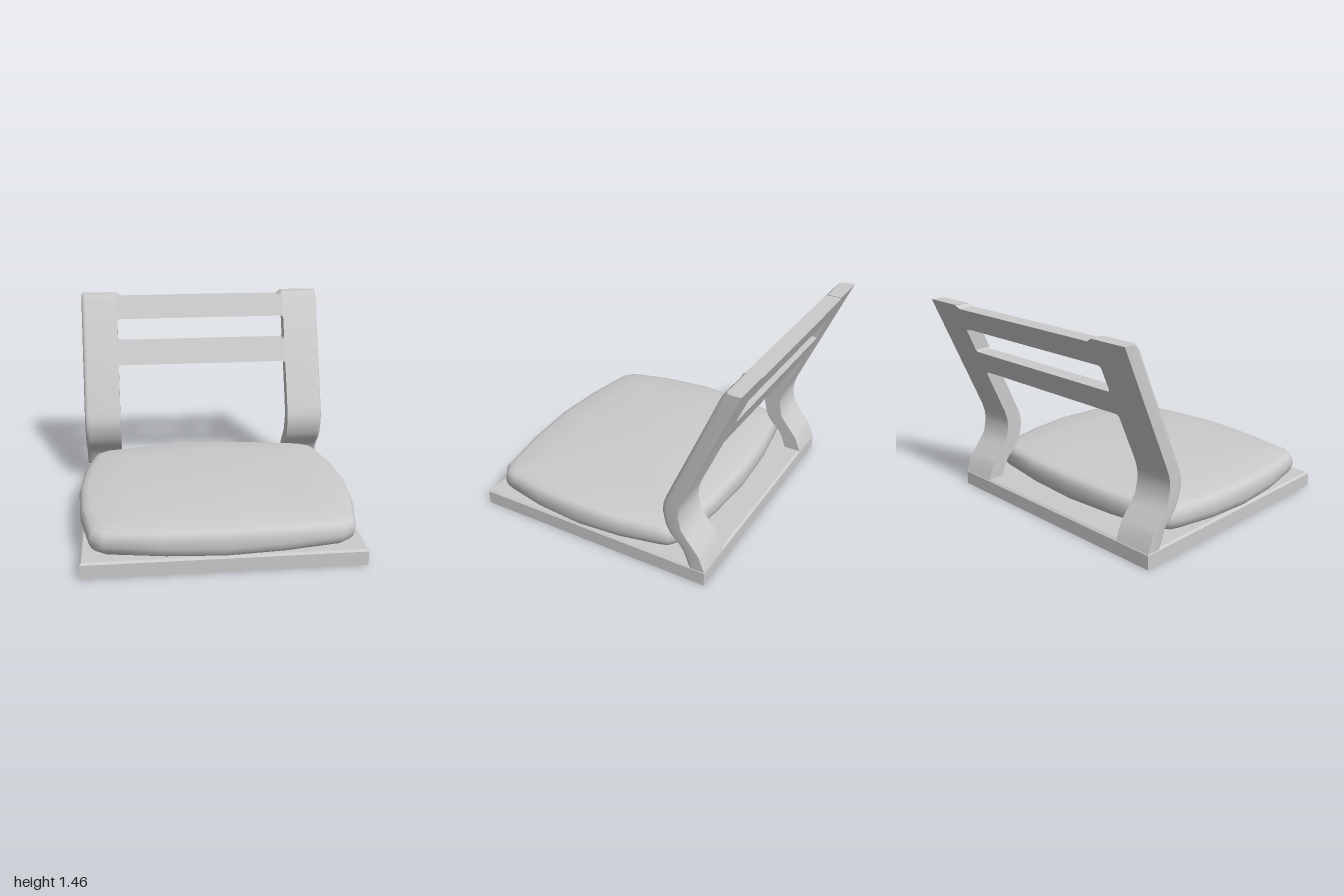
import * as THREE from 'three';
import { mergeVertices, toCreasedNormals } from 'three/addons/utils/BufferGeometryUtils.js';

const material = new THREE.MeshStandardMaterial({ color: 0xcccccc });

function addMesh(parent, name, geometry) {
  const mesh = new THREE.Mesh(geometry, material);
  mesh.name = name;
  parent.add(mesh);
}

// Skin between stacked rings (bottom to top, each running from +x towards +z), closed at both ends.
function loft(rings, crease) {
  const n = rings[0].length, pos = rings.flat(2), index = [];
  for (let i = 0; i < rings.length - 1; i++) {
    for (let j = 0; j < n; j++) {
      const a = i * n + j, b = i * n + (j + 1) % n;
      index.push(a, a + n, b, b, a + n, b + n);
    }
  }
  [0, rings.length - 1].forEach((r, top) => {
    const centre = pos.length / 3;
    for (let k = 0; k < 3; k++) pos.push(rings[r].reduce((s, p) => s + p[k], 0) / n);
    for (let j = 0; j < n; j++) {
      const a = r * n + j, b = r * n + (j + 1) % n;
      index.push(centre, top ? b : a, top ? a : b);
    }
  });
  let g = new THREE.BufferGeometry();
  g.setAttribute('position', new THREE.Float32BufferAttribute(pos, 3));
  g.setIndex(index);
  g = mergeVertices(g);
  return toCreasedNormals(g, crease);
}

// Flat board with a fine bevel around its top edge
function baseGeometry() {
  const ring = (y, d) => [
    [0.94 - d, y, -0.8 + d], [0.94 - d, y, 0.975 - d],
    [-0.94 + d, y, 0.975 - d], [-0.94 + d, y, -0.8 + d],
  ];
  return loft([ring(0, 0), ring(0.098, 0), ring(0.112, 0.014)], 0.3);
}

// Bulging square pillow: one quarter of the plan, mirrored, scaled through the edge profile
function cushionGeometry() {
  const quarter = [[0.965, 0], [0.945, 0.33], [0.888, 0.62], [0.868, 0.68], [0.79, 0.735], [0.4, 0.79], [0, 0.81]];
  const half = [...quarter, ...quarter.slice(0, -1).reverse().map(([x, z]) => [-x, z])];
  const plan = [...half, ...half.slice(1, -1).reverse().map(([x, z]) => [x, -z])];
  const profile = [
    [0.02, 0.105], [0.93, 0.106], [0.965, 0.114], [0.99, 0.14], [1, 0.175], [1, 0.235],
    [0.99, 0.268], [0.97, 0.288], [0.93, 0.3], [0.7, 0.315], [0.35, 0.331], [0.02, 0.34],
  ];
  return loft(profile.map(([s, y]) => plan.map(([x, z]) => {
    const corner = Math.min(Math.abs(x) / 0.87, Math.abs(z) / 0.68, 1) * s * s;
    return [x * s, y + (y > 0.2 ? -0.015 : 0.012) * corner, z * s + 0.18];
  })), Math.PI);
}

// Bent upright: [height, front z, back z], with a rounded outer front edge
function postGeometry(side) {
  const stations = [
    [0.105, -0.677, -0.8], [0.21, -0.637, -0.76], [0.25, -0.61, -0.73], [0.32, -0.54, -0.672],
    [0.38, -0.506, -0.627], [0.48, -0.482, -0.605], [0.54, -0.489, -0.61], [0.6, -0.51, -0.627],
    [1.42, -0.868, -0.985], [1.455, -0.9, -1],
  ];
  const r = 0.035, inner = 0.663, outer = 0.94;
  const rings = stations.map(([y, front, back]) => {
    const ring = [];
    for (let i = 0; i <= 4; i++) {
      const a = i * Math.PI / 8;
      ring.push([outer - r + r * Math.cos(a), y, front - r + r * Math.sin(a)]);
    }
    ring.push([inner, y, front], [inner, y, back], [outer, y, back]);
    return side > 0 ? ring : ring.map(([x, h, z]) => [-x, h, z]).reverse();
  });
  return loft(rings, 0.7);
}

// Rail cut from the reclined board: right half of its outline, mirrored, then sheared backwards
function railGeometry(rightHalf) {
  const outline = [...rightHalf, ...rightHalf.slice().reverse().map(([x, y]) => [-x, y])];
  const shape = new THREE.Shape(outline.map(([x, y]) => new THREE.Vector2(x, y)));
  const g = new THREE.ExtrudeGeometry(shape, { depth: 0.117, bevelEnabled: false });
  const p = g.attributes.position;
  for (let i = 0; i < p.count; i++) {
    p.setZ(i, p.getZ(i) - 0.627 - 0.4366 * (p.getY(i) - 0.6));
  }
  g.computeVertexNormals();
  return g;
}

export function createModel() {
  const model = new THREE.Group();
  model.name = 'floorChair';
  addMesh(model, 'base', baseGeometry());
  addMesh(model, 'cushion', cushionGeometry());

  const back = new THREE.Group();
  back.name = 'backrest';
  model.add(back);
  addMesh(back, 'leftPost', postGeometry(1));
  addMesh(back, 'rightPost', postGeometry(-1));
  // Small flares where the rails meet the posts
  addMesh(back, 'middleRail', railGeometry([
    [0.645, 0.94], [0.658, 0.934], [0.664, 0.922], [0.664, 1.118], [0.658, 1.106], [0.645, 1.1],
  ]));
  addMesh(back, 'topRail', railGeometry([
    [0.645, 1.277], [0.658, 1.271], [0.664, 1.259], [0.664, 1.45], [0.655, 1.447], [0.63, 1.43],
  ]));
  return model;
}
